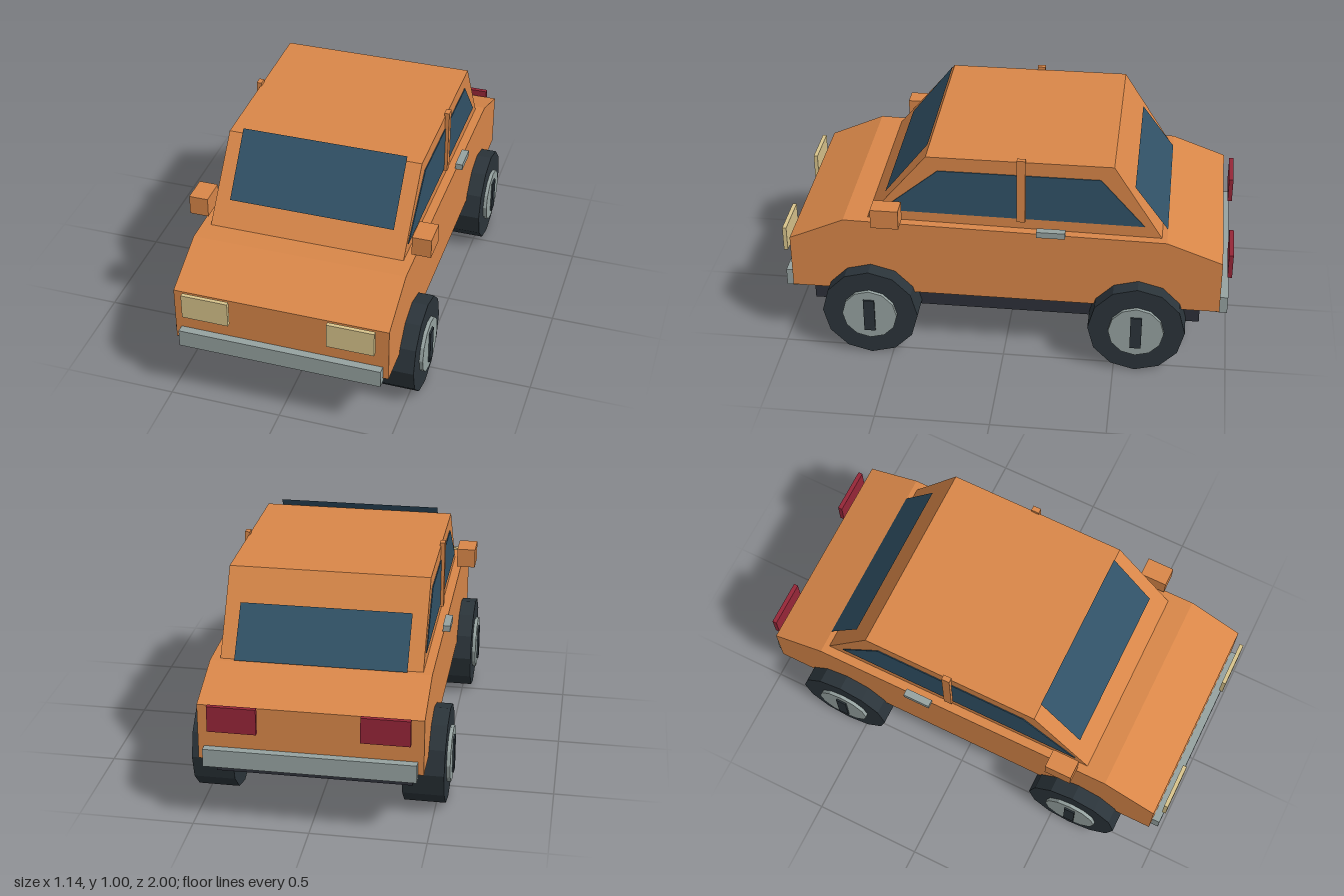
import * as THREE from 'three';

const mat = (name, color, extra = {}) => {
  const m = new THREE.MeshStandardMaterial({ color, ...extra });
  m.name = name;
  return m;
};

export function createModel() {
  const car = new THREE.Group();
  car.name = 'car';

  const paint = mat('orange paint', 0xd98749);
  const glass = mat('blue glass', 0x315267, { side: THREE.DoubleSide });
  const rubber = mat('dark rubber', 0x2b343a);
  const under = mat('dark underbody', 0x2d3039);
  const metal = mat('grey metal', 0x96a3a1);
  const lampCream = mat('cream lamp', 0xd8c48c);
  const lampRed = mat('red lamp', 0x962638);

  const add = (name, geometry, material, parent = car) => {
    const mesh = new THREE.Mesh(geometry, material);
    mesh.name = name;
    parent.add(mesh);
    return mesh;
  };

  // Box given by its extents on each axis
  const box = (name, material, [x0, x1], [y0, y1], [z0, z1]) => {
    const g = new THREE.BoxGeometry(x1 - x0, y1 - y0, z1 - z0);
    g.translate((x0 + x1) / 2, (y0 + y1) / 2, (z0 + z1) / 2);
    return add(name, g, material);
  };

  // Side profile of [z, y] points, extruded across x
  const prism = (name, material, points, width, centerX = 0) => {
    const shape = new THREE.Shape(points.map(([z, y]) => new THREE.Vector2(z, y)));
    const g = new THREE.ExtrudeGeometry(shape, { depth: width, bevelEnabled: false });
    g.rotateY(-Math.PI / 2);
    g.translate(centerX + width / 2, 0, 0);
    return add(name, g, material);
  };

  // Sloping pane between a lower and an upper [z, y] line
  const pane = (name, low, high, halfWidth) => {
    const dz = high[0] - low[0], dy = high[1] - low[1];
    const g = new THREE.PlaneGeometry(2 * halfWidth, Math.hypot(dz, dy));
    if (low[0] < 0) g.rotateY(Math.PI);
    g.rotateX(Math.atan2(dz, dy));
    g.translate(0, (low[1] + high[1]) / 2, (low[0] + high[0]) / 2);
    return add(name, g, glass);
  };

  // Body shell, cabin and underbody
  prism('body', paint, [
    [0.955, 0.295], [0.955, 0.545], [0.71, 0.655],
    [-0.71, 0.635], [-0.955, 0.545], [-0.955, 0.295],
  ], 0.95);
  prism('cabin', paint, [
    [0.61, 0.65], [0.34, 0.975], [-0.47, 0.975], [-0.69, 0.63],
  ], 0.87);
  box('underbody', under, [-0.42, 0.42], [0.195, 0.297], [-0.87, 0.87]);

  // Front and rear glass
  pane('windshield', [0.535, 0.75], [0.34, 1.0], 0.37);
  pane('rearWindow', [-0.71, 0.64], [-0.56, 0.845], 0.37);

  // Bumpers
  box('frontBumper', metal, [-0.45, 0.45], [0.275, 0.355], [0.94, 0.99]);
  box('rearBumper', metal, [-0.45, 0.45], [0.275, 0.355], [-0.99, -0.94]);

  for (const [s, side] of [[1, 'left'], [-1, 'right']]) {
    const span = (a, b) => (s > 0 ? [a, b] : [-b, -a]);

    // Side glass, door pillar, mirror and handle
    prism(side + 'SideWindow', glass, [
      [0.545, 0.698], [0.29, 0.91], [-0.415, 0.91], [-0.61, 0.69],
    ], 0.006, s * 0.436);
    box(side + 'DoorPillar', paint, span(0.43, 0.453), [0.685, 0.99], [-0.092, -0.055]);
    box(side + 'Mirror', paint, span(0.46, 0.545), [0.668, 0.757], [0.45, 0.572]);
    box(side + 'DoorHandle', metal, span(0.47, 0.503), [0.642, 0.67], [-0.27, -0.145]);

    // Lamps
    box(side + 'Headlight', lampCream, span(0.217, 0.424), [0.445, 0.56], [0.982, 1.0]);
    box(side + 'TailLight', lampRed, span(0.217, 0.424), [0.445, 0.56], [-1.0, -0.98]);

    // Wheels: twelve-sided tyre, hub and a dark centre bar
    for (const [z, end] of [[0.595, 'Front'], [-0.595, 'Rear']]) {
      const wheel = new THREE.Group();
      wheel.name = side + end + 'Wheel';
      wheel.position.set(s * 0.455, 0.215, z);
      car.add(wheel);
      const disc = (name, r, width, x, material) => {
        const g = new THREE.CylinderGeometry(r, r, width, 12).toNonIndexed();
        g.rotateZ(Math.PI / 2);
        g.computeVertexNormals();
        add(name, g, material, wheel).position.x = s * x;
      };
      disc('tyre', 0.215, 0.18, 0, rubber);
      disc('hub', 0.123, 0.02, 0.096, metal);
      add('hubBar', new THREE.BoxGeometry(0.012, 0.16, 0.05), rubber, wheel).position.x = s * 0.108;
    }
  }
  return car;
}
